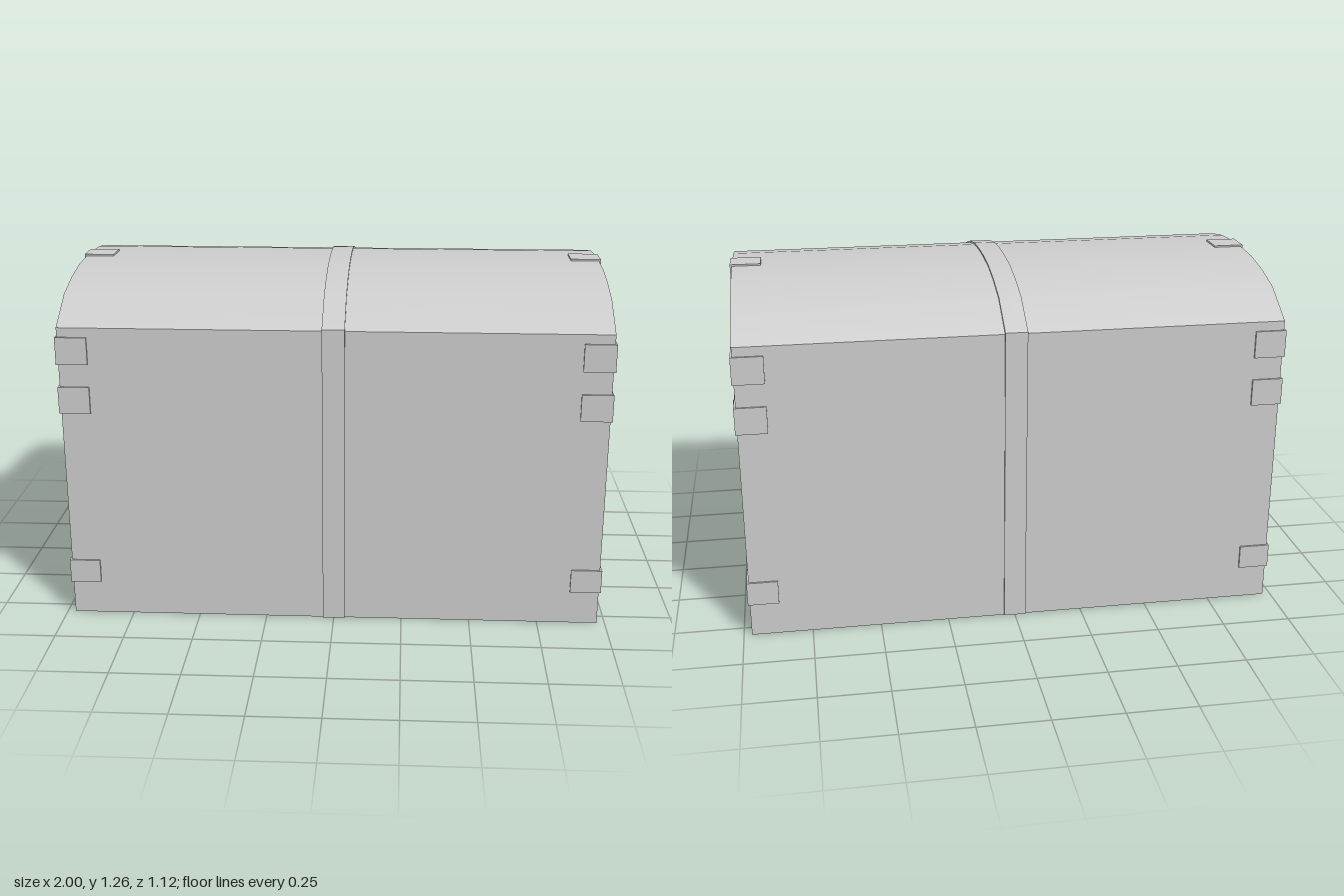
import * as THREE from 'three';
import { toCreasedNormals } from 'three/addons/utils/BufferGeometryUtils.js';

const material = new THREE.MeshStandardMaterial({ color: 0xcccccc });

// Half of the arched lid, from the eave to near the crown: [z, y]
const ARCH = [[0.553, 1.1], [0.412, 1.188], [0.293, 1.222], [0.173, 1.243], [0.05, 1.25]];

function addMesh(parent, name, geometry) {
  const mesh = new THREE.Mesh(geometry, material);
  mesh.name = name;
  parent.add(mesh);
  return mesh;
}

function addBox(parent, name, min, max) {
  const size = max.map((v, i) => v - min[i]);
  const mesh = addMesh(parent, name, new THREE.BoxGeometry(...size));
  mesh.position.set(...max.map((v, i) => (v + min[i]) / 2));
  return mesh;
}

// Domed cross-section, grown outward a little, extruded along x
function domedSolid(width, grow) {
  const half = ARCH.map(([z, y]) => [z + grow * z / 0.553, y + grow]);
  const points = [
    [half[0][0], 0], ...half,
    ...half.slice().reverse().map(([z, y]) => [-z, y]), [-half[0][0], 0],
  ].map(([z, y]) => new THREE.Vector2(z, y));
  const geometry = new THREE.ExtrudeGeometry(new THREE.Shape(points), { depth: width, bevelEnabled: false });
  geometry.translate(0, 0, -width / 2).rotateY(Math.PI / 2);
  return toCreasedNormals(geometry, 0.6);
}

// Swing handle with its mounting plate, on the +x end
function makeHandle() {
  const group = new THREE.Group();
  group.name = 'handle';
  addBox(group, 'handlePlate', [0.96, 0.668, -0.168], [0.979, 0.784, 0.168]);
  const half = [[0.108, 0.75], [0.108, 0.703], [0.087, 0.665], [0.042, 0.631]];
  const points = [...half, ...half.slice().reverse().map(([z, y]) => [-z, y])]
    .map(([z, y]) => new THREE.Vector3(0.989, y, z));
  const path = new THREE.CurvePath();
  for (let i = 1; i < points.length; i++) path.add(new THREE.LineCurve3(points[i - 1], points[i]));
  addMesh(group, 'handleGrip', new THREE.TubeGeometry(path, 42, 0.0105, 8));
  // Closed ends and short pins into the plate
  for (const z of [-0.108, 0.108]) {
    const pin = addMesh(group, 'handlePin', new THREE.CylinderGeometry(0.0105, 0.0105, 0.028, 8));
    pin.rotation.z = Math.PI / 2;
    pin.position.set(0.985, 0.74, z);
    const cap = addMesh(group, 'handleEnd', new THREE.CircleGeometry(0.0105, 8));
    cap.rotation.x = -Math.PI / 2;
    cap.position.set(0.989, 0.75, z);
  }
  return group;
}

export function createModel() {
  const model = new THREE.Group();
  model.name = 'chest';

  addMesh(model, 'chestBody', domedSolid(1.942, 0));
  addMesh(model, 'centreBand', domedSolid(0.08, 0.006));

  for (const side of [-1, 1]) {
    const end = new THREE.Group();
    end.name = side > 0 ? 'leftEnd' : 'rightEnd';
    if (side < 0) end.rotation.y = Math.PI;
    end.add(makeHandle());

    // Corner brackets wrapping the four upright edges
    for (const [low, high] of [[0.125, 0.213], [0.786, 0.884], [0.967, 1.066]]) {
      addBox(end, 'frontCornerBracket', [0.866, low, 0.412], [0.978, high, 0.56]);
      addBox(end, 'backCornerBracket', [0.866, low, -0.56], [0.978, high, -0.412]);
    }

    // Clips at the crown and foot of the end panel
    addBox(end, 'crownClipSide', [0.95, 1.066, -0.051], [0.978, 1.256, 0.051]);
    addBox(end, 'crownClipTop', [0.866, 1.236, -0.051], [0.978, 1.256, 0.051]);
    addBox(end, 'footClip', [0.866, 0, -0.051], [0.978, 0.124, 0.051]);
    model.add(end);
  }
  return model;
}
